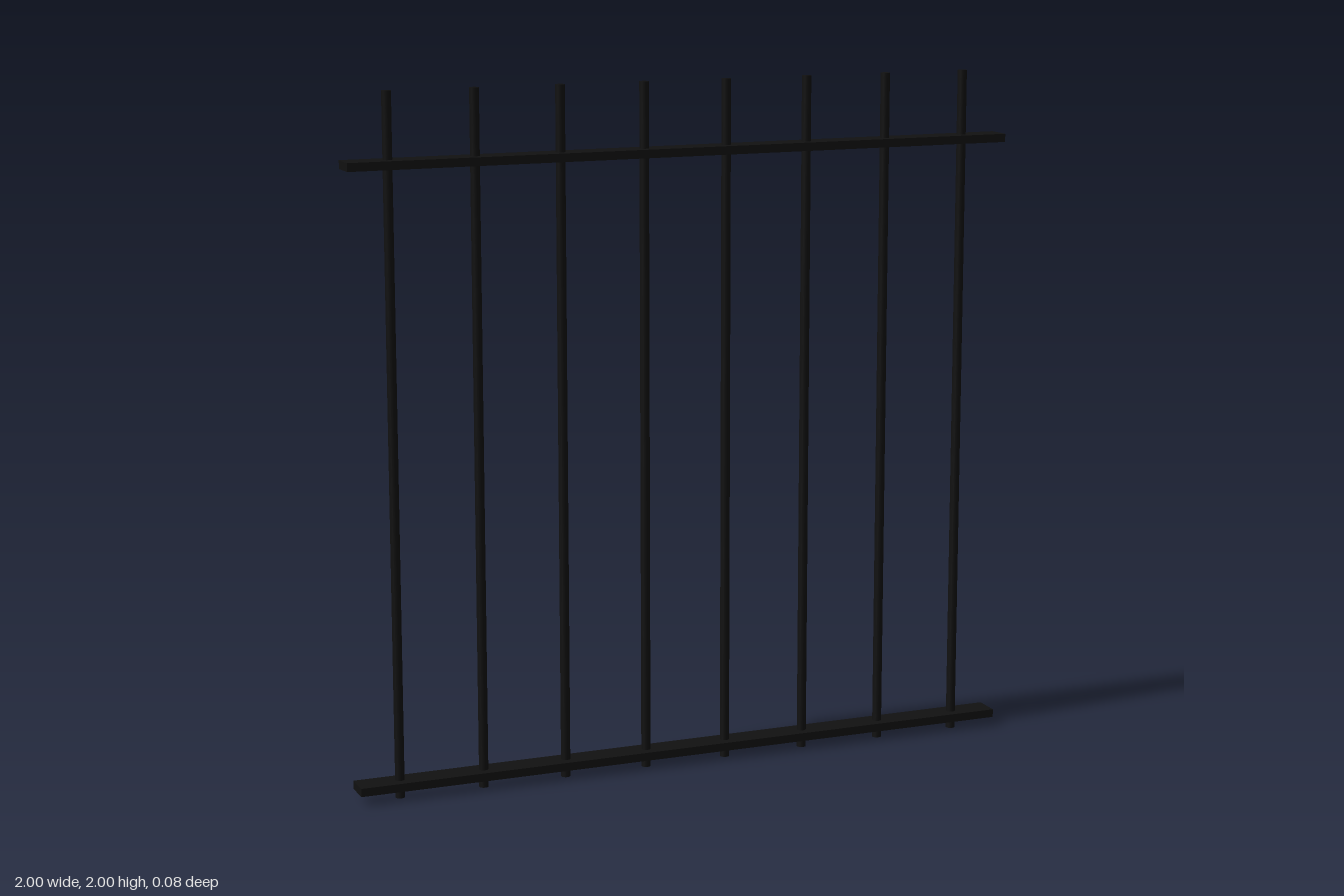
import * as THREE from 'three';

export function createModel() {
  const group = new THREE.Group();
  const blackIron = new THREE.MeshStandardMaterial({ color: 0x111111 });
  blackIron.name = 'blackIron';

  // Flat horizontal rails
  const railGeometry = new THREE.BoxGeometry(2, 0.024, 0.08);
  [['bottomRail', 0.04], ['topRail', 1.8]].forEach(([name, y]) => {
    const rail = new THREE.Mesh(railGeometry, blackIron);
    rail.name = name;
    rail.position.y = y;
    group.add(rail);
  });

  // Evenly spaced round bars passing through both rails
  const barCount = 8;
  const spacing = 0.25;
  const barGeometry = new THREE.CylinderGeometry(0.0135, 0.0135, 2, 16);
  for (let i = 0; i < barCount; i++) {
    const bar = new THREE.Mesh(barGeometry, blackIron);
    bar.name = `bar${i + 1}`;
    bar.position.set((i - (barCount - 1) / 2) * spacing, 1, 0);
    group.add(bar);
  }

  return group;
}
